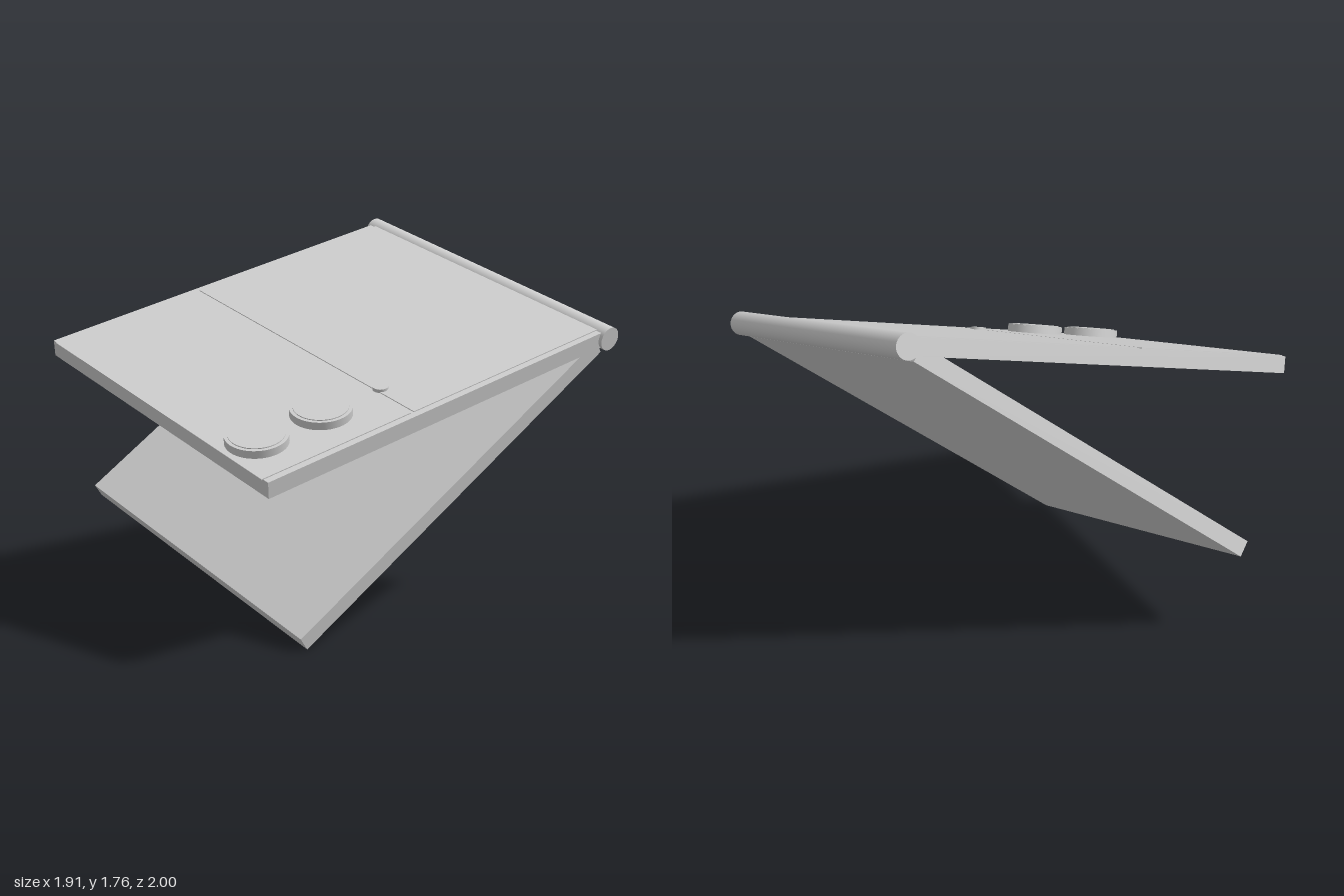
import * as THREE from 'three';

export function createModel() {
  const model = new THREE.Group();
  const grey = new THREE.MeshStandardMaterial({ color: 0xcccccc });
  grey.name = 'light grey';

  const add = (parent, name, geometry, x = 0, y = 0, z = 0) => {
    const mesh = new THREE.Mesh(geometry, grey);
    mesh.name = name;
    mesh.position.set(x, y, z);
    parent.add(mesh);
    return mesh;
  };
  // Slab running from z0 to z1 with its underside at y0
  const slab = (parent, name, width, thickness, y0, z0, z1) =>
    add(parent, name, new THREE.BoxGeometry(width, thickness, z1 - z0), 0, y0 + thickness / 2, (z0 + z1) / 2);

  const WIDTH = 1.62, THICK = 0.077, TOP = THICK / 2, PLATE = 0.004;

  // Tilted frame with its origin on the hinge: x along the hinge, z along the upper panel
  const device = new THREE.Group();
  device.name = 'foldingDevice';
  const u = new THREE.Vector3(0.963, -0.268, -0.02).normalize();
  const n = new THREE.Vector3(-0.044, -0.249, 0.967).cross(u).normalize();
  const v = new THREE.Vector3().crossVectors(u, n);
  device.quaternion.setFromRotationMatrix(new THREE.Matrix4().makeBasis(u, n, v));
  device.position.set(0.143, 1.499, -0.929);
  model.add(device);

  // Hinge barrel
  add(device, 'hinge', new THREE.CylinderGeometry(0.056, 0.056, 1.655, 48)).rotation.z = Math.PI / 2;

  // Upper panel with two thin cover plates separated by a narrow seam
  const upper = new THREE.Group();
  upper.name = 'upperPanel';
  device.add(upper);
  slab(upper, 'upperBody', WIDTH, THICK, -TOP, 0.01, 1.962);
  slab(upper, 'rearCoverPlate', 1.557, PLATE, TOP, 0.03, 1.158);
  slab(upper, 'frontCoverPlate', 1.557, PLATE, TOP, 1.174, 1.97);

  // Two round lenses with a thin raised face, and a small round light
  for (const z of [1.465, 1.807]) {
    add(upper, 'lensRing', new THREE.CylinderGeometry(0.136, 0.136, 0.04, 64), 0.533, TOP + 0.02, z);
    add(upper, 'lensFace', new THREE.CylinderGeometry(0.12, 0.12, 0.004, 64), 0.533, TOP + 0.042, z);
  }
  add(upper, 'smallLight', new THREE.CylinderGeometry(0.035, 0.035, 0.016, 32), 0.533, TOP + 0.008, 1.134);

  // Lower panel, opened about the hinge
  const lower = new THREE.Group();
  lower.name = 'lowerPanel';
  lower.rotation.x = THREE.MathUtils.degToRad(25);
  device.add(lower);
  slab(lower, 'lowerBody', WIDTH, THICK, -TOP, 0.06, 2.0);

  return model;
}
